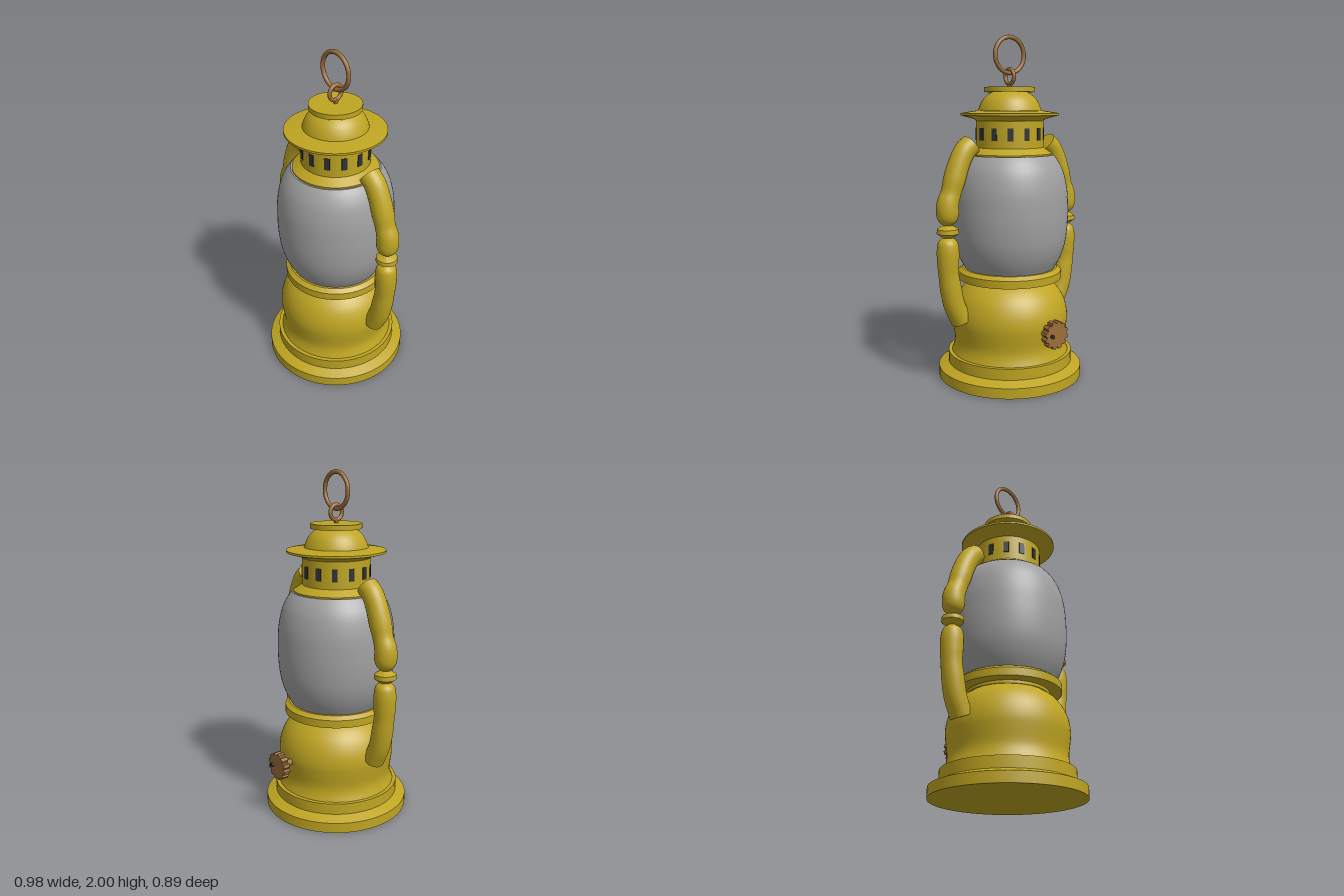
import * as THREE from 'three';
import { toCreasedNormals } from 'three/addons/utils/BufferGeometryUtils.js';

const material = (name, color) => Object.assign(new THREE.MeshStandardMaterial({ color }), { name });

export function createModel() {
  const yellow = material('yellow paint', 0xbfa522);
  const grey = material('frosted glass', 0xa0a0a0);
  const brown = material('copper', 0x9c6d3a);
  const dark = material('dark opening', 0x2d3035);

  const lamp = new THREE.Group();
  lamp.name = 'lantern';
  lamp.position.z = 0.014; // knob at the back shifts the centre of the model

  const add = (name, geometry, mat, parent = lamp) => {
    const mesh = new THREE.Mesh(geometry, mat);
    mesh.name = name;
    parent.add(mesh);
    return mesh;
  };
  const vectors = (list) => list.map(([r, y]) => new THREE.Vector2(r, y));
  const turned = (points, sides = 64) =>
    toCreasedNormals(new THREE.LatheGeometry(points, sides), 0.5);
  const smooth = (list, n) => new THREE.SplineCurve(vectors(list)).getPoints(n);

  // Base foot and fuel tank
  add('base', turned(vectors([
    [0, 0], [0.428, 0], [0.428, 0.06], [0.37, 0.085], [0.37, 0.15], [0.3, 0.15],
  ])), yellow);
  add('fuelTank', turned(smooth([
    [0.35, 0.145], [0.335, 0.19], [0.331, 0.235], [0.341, 0.31], [0.345, 0.365],
    [0.335, 0.43], [0.307, 0.495], [0.265, 0.545], [0.225, 0.575],
  ], 28)), yellow);
  add('glassSeat', turned(vectors([
    [0.2, 0.572], [0.235, 0.572], [0.235, 0.59], [0.305, 0.59], [0.305, 0.635], [0.28, 0.655], [0, 0.655],
  ])), yellow);

  // Glass globe
  const globe = smooth([
    [0.265, 0.65], [0.302, 0.72], [0.33, 0.81], [0.342, 0.92], [0.342, 1.04],
    [0.335, 1.13], [0.314, 1.22], [0.285, 1.28], [0.255, 1.32],
  ], 28);
  globe.push(new THREE.Vector2(0, 1.32));
  add('glassGlobe', turned(globe), grey);

  // Chimney: collar, brim, dome and cap
  add('collar', turned(vectors([
    [0.246, 1.318], [0.246, 1.328], [0.196, 1.362], [0.196, 1.515], [0.15, 1.53],
  ])), yellow);
  add('brim', turned(vectors([
    [0.19, 1.512], [0.208, 1.525], [0.285, 1.546], [0.285, 1.558], [0.2, 1.572], [0.15, 1.574],
  ])), yellow);
  add('dome', turned(smooth([
    [0.184, 1.57], [0.174, 1.6], [0.153, 1.638], [0.12, 1.668], [0.09, 1.682],
  ], 14)), yellow);
  add('cap', turned(vectors([[0, 1.678], [0.147, 1.678], [0.147, 1.706], [0, 1.706]])), yellow);

  // Vent openings around the collar
  const ventCount = 13;
  for (let i = 0; i < ventCount; i++) {
    const a = Math.PI / 2 + (i / ventCount) * Math.PI * 2;
    const vent = add('vent', new THREE.BoxGeometry(0.032, 0.07, 0.008), dark);
    vent.position.set(Math.sin(a) * 0.195, 1.44, Math.cos(a) * 0.195);
    vent.rotation.y = a;
  }

  // Hanging rings
  const stem = add('ringStem', new THREE.CylinderGeometry(0.012, 0.012, 0.03, 16), brown);
  stem.position.y = 1.715;
  const eye = add('smallRing', new THREE.TorusGeometry(0.042, 0.0115, 12, 32), brown);
  eye.position.y = 1.766;
  eye.rotation.y = Math.PI / 2;
  add('carryRing', new THREE.TorusGeometry(0.101, 0.0125, 12, 48), brown).position.y = 1.8865;

  // Side arms: stations are x, y, radius
  const limb = (stations, steps) => {
    const curve = new THREE.CatmullRomCurve3(stations.map((s) => new THREE.Vector3(...s)));
    const sides = 28, pos = [], index = [];
    for (let i = 0; i <= steps + 2; i++) {
      const u = THREE.MathUtils.clamp((i - 1) / steps, 0, 1);
      const p = curve.getPoint(u), t = curve.getTangent(u);
      const len = Math.hypot(t.x, t.y) || 1;
      const r = i === 0 || i === steps + 2 ? 0 : p.z; // closed ends
      for (let j = 0; j <= sides; j++) {
        const a = (j / sides) * Math.PI * 2, c = Math.cos(a) * r;
        pos.push(p.x - (t.y / len) * c, p.y + (t.x / len) * c, Math.sin(a) * r);
        if (i < steps + 2 && j < sides) {
          const k = i * (sides + 1) + j, m = k + sides + 1;
          index.push(k, k + 1, m, k + 1, m + 1, m);
        }
      }
    }
    const g = new THREE.BufferGeometry();
    g.setAttribute('position', new THREE.Float32BufferAttribute(pos, 3));
    g.setIndex(index);
    return toCreasedNormals(g, 0.7);
  };
  const upper = limb([
    [0.268, 1.385, 0.061], [0.312, 1.348, 0.061], [0.352, 1.275, 0.061], [0.382, 1.19, 0.062],
    [0.404, 1.12, 0.057], [0.425, 1.06, 0.062], [0.427, 1.0, 0.062], [0.427, 0.965, 0.05], [0.427, 0.94, 0.022],
  ], 40);
  const lower = limb([
    [0.427, 0.872, 0.028], [0.427, 0.85, 0.052], [0.427, 0.81, 0.062], [0.427, 0.73, 0.062],
    [0.424, 0.66, 0.058], [0.412, 0.58, 0.061], [0.39, 0.48, 0.061], [0.345, 0.38, 0.06],
  ], 40);
  const bead = turned(vectors([
    [0, 0.945], [0.02, 0.945], [0.06, 0.922], [0.062, 0.896], [0.028, 0.872], [0, 0.872],
  ].reverse()), 28);
  for (const [name, turn] of [['leftArm', 0], ['rightArm', Math.PI]]) {
    const arm = new THREE.Group();
    arm.name = name;
    arm.rotation.y = turn;
    add('upperArm', upper, yellow, arm);
    add('lowerArm', lower, yellow, arm);
    add('armBead', bead, yellow, arm).position.x = 0.427;
    lamp.add(arm);
  }

  // Wick knob at the back
  const knob = new THREE.Group();
  knob.name = 'wickKnob';
  knob.position.set(0, 0.342, -0.4);
  const shaft = add('knobShaft', new THREE.CylinderGeometry(0.02, 0.02, 0.1, 20), brown, knob);
  shaft.rotation.x = Math.PI / 2;
  shaft.position.z = 0.03;
  const teeth = 12, outline = [];
  for (let i = 0; i < teeth; i++) {
    for (const [f, r] of [[0, 0.068], [0.2, 0.08], [0.65, 0.08], [0.85, 0.068]]) {
      const a = ((i + f) / teeth) * Math.PI * 2;
      outline.push(new THREE.Vector2(Math.cos(a) * r, Math.sin(a) * r));
    }
  }
  add('knobWheel', new THREE.ExtrudeGeometry(new THREE.Shape(outline), { depth: 0.042, bevelEnabled: false }),
    brown, knob).position.z = -0.044;
  const pin = add('knobPin', new THREE.CylinderGeometry(0.011, 0.011, 0.02, 16), dark, knob);
  pin.rotation.x = Math.PI / 2;
  pin.position.set(0.036, 0, -0.048);
  lamp.add(knob);

  const model = new THREE.Group();
  model.name = 'lanternModel';
  model.add(lamp);
  return model;
}
